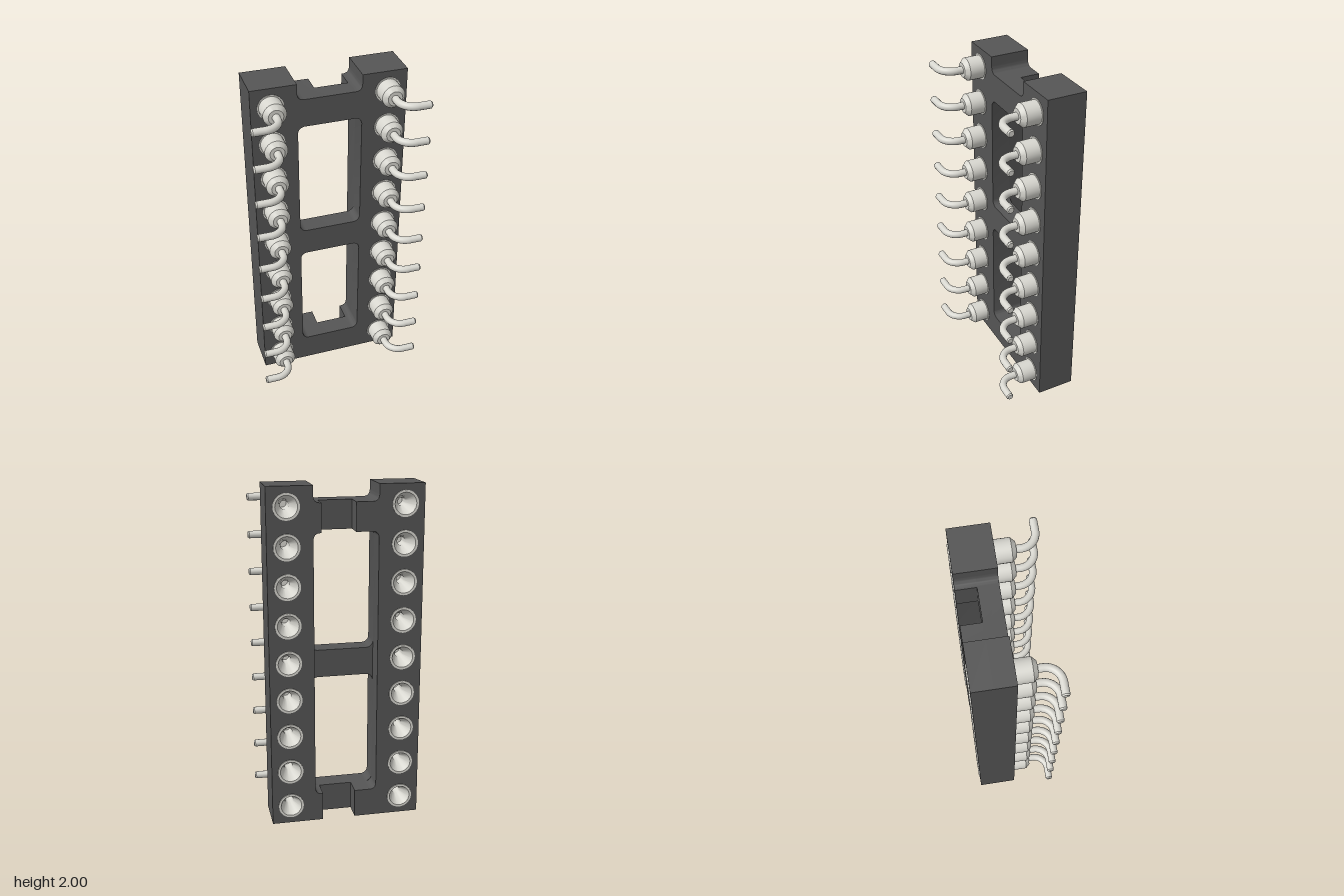
import * as THREE from 'three';
import { toCreasedNormals } from 'three/addons/utils/BufferGeometryUtils.js';

const HALF_W = 0.445, INNER = 0.185, FILLET = 0.04;
const PIN_X = 0.333, PIN_ROWS = 9, PITCH = 2 / 9;
const Z_BACK = -0.24, Z_MID = -0.125, Z_FRONT = -0.01;

const pinY = (i) => 1 + (i - 4) * PITCH;

function roundedWindow(y0, y1) {
  const p = new THREE.Path(), w = INNER, r = FILLET;
  p.moveTo(-w + r, y0);
  p.absarc(w - r, y0 + r, r, -Math.PI / 2, 0);
  p.absarc(w - r, y1 - r, r, 0, Math.PI / 2);
  p.absarc(-w + r, y1 - r, r, Math.PI / 2, Math.PI);
  p.absarc(-w + r, y0 + r, r, Math.PI, Math.PI * 1.5);
  p.closePath();
  return p;
}

function addPinHoles(shape, side) {
  for (let i = 0; i < PIN_ROWS; i++) {
    shape.holes.push(new THREE.Path().absarc(side * PIN_X, pinY(i), 0.066, 0, Math.PI * 2));
  }
}

function extrude(shape, z0, z1) {
  const g = new THREE.ExtrudeGeometry(shape, { depth: z1 - z0, bevelEnabled: false, curveSegments: 10 });
  g.translate(0, 0, z0);
  return toCreasedNormals(g, 0.6);
}

// Front half of the body: ladder frame with two windows and an open top notch
function frameShape() {
  const s = new THREE.Shape(), w = INNER, r = FILLET, y = 1.905;
  s.moveTo(-HALF_W, 0);
  s.lineTo(HALF_W, 0);
  s.lineTo(HALF_W, 2);
  s.lineTo(w, 2);
  s.lineTo(w, y + r);
  s.quadraticCurveTo(w, y, w - r, y);
  s.lineTo(-w + r, y);
  s.quadraticCurveTo(-w, y, -w, y + r);
  s.lineTo(-w, 2);
  s.lineTo(-HALF_W, 2);
  s.closePath();
  s.holes.push(roundedWindow(0.17, 0.87), roundedWindow(1.035, 1.74));
  addPinHoles(s, 1);
  addPinHoles(s, -1);
  return s;
}

// Back half of the body: one rail with a tab at each end, reaching in to x = tab
function railShape(side, tab) {
  const s = new THREE.Shape(), w = INNER, r = FILLET;
  const line = (x, y) => s.lineTo(side * x, y);
  const fillet = (cy, x, y) => s.quadraticCurveTo(side * w, cy, side * x, y);
  s.moveTo(side * HALF_W, 0);
  line(HALF_W, 2);
  line(w, 2);
  line(w, 1.905 + r);
  fillet(1.905, w - r, 1.905);
  line(tab, 1.905);
  line(tab, 1.74);
  line(w - r, 1.74);
  fillet(1.74, w, 1.74 - r);
  line(w, 0.17 + r);
  fillet(0.17, w - r, 0.17);
  line(tab, 0.17);
  line(tab, 0);
  s.closePath();
  addPinHoles(s, side);
  return s;
}

// Turned sleeve: blind bore, funnel, back rim, barrel, front ring, chamfered collar
function sleeveGeometry() {
  const profile = [
    [0, -0.08], [0.024, -0.08], [0.024, -0.165], [0.062, -0.246], [0.075, -0.246],
    [0.075, -0.239], [0.066, -0.239], [0.066, -0.012], [0.074, -0.012], [0.074, -0.007],
    [0.066, -0.007], [0.066, 0.08], [0.042, 0.105], [0, 0.105],
  ].map(([r, z]) => new THREE.Vector2(r, z));
  const g = new THREE.LatheGeometry(profile, 28);
  g.rotateX(Math.PI / 2);
  return toCreasedNormals(g, 0.5);
}

// Lead: straight out of the collar, then a quarter bend to the outside
function leadGeometry() {
  const v = (x, z) => new THREE.Vector3(x, 0, z);
  const R = 0.087, k = R * 0.5523, z = 0.221;
  const path = new THREE.CurvePath();
  path.add(new THREE.LineCurve3(v(0, 0.09), v(0, z - R)));
  path.add(new THREE.CubicBezierCurve3(v(0, z - R), v(0, z - R + k), v(R - k, z), v(R, z)));
  path.add(new THREE.LineCurve3(v(R, z), v(0.156, z)));
  return new THREE.TubeGeometry(path, 22, 0.022, 14, false);
}

// Chamfered end of the lead
function tipGeometry() {
  const g = new THREE.CylinderGeometry(0.016, 0.022, 0.008, 14);
  g.rotateZ(-Math.PI / 2);
  g.translate(0.16, 0, 0.221);
  return toCreasedNormals(g, 0.5);
}

export function createModel() {
  const model = new THREE.Group();
  model.name = 'icSocket';
  const plastic = new THREE.MeshStandardMaterial({ color: 0x555555 });
  const metal = new THREE.MeshStandardMaterial({ color: 0xd8d7d0 });

  const add = (parent, name, geometry, material) => {
    const m = new THREE.Mesh(geometry, material);
    m.name = name;
    parent.add(m);
  };

  const body = new THREE.Group();
  body.name = 'body';
  add(body, 'frontFrame', extrude(frameShape(), Z_MID, Z_FRONT), plastic);
  add(body, 'leftRail', extrude(railShape(1, 0.14), Z_BACK, Z_MID), plastic);
  add(body, 'rightRail', extrude(railShape(-1, 0.055), Z_BACK, Z_MID), plastic);
  model.add(body);

  // Two rows of pins; the right row is turned half round so its leads point outward
  const sleeve = sleeveGeometry(), lead = leadGeometry(), tip = tipGeometry();
  for (const side of [1, -1]) {
    for (let i = 0; i < PIN_ROWS; i++) {
      const pin = new THREE.Group();
      pin.name = side > 0 ? 'leftPin' : 'rightPin';
      add(pin, 'sleeve', sleeve, metal);
      add(pin, 'lead', lead, metal);
      add(pin, 'leadTip', tip, metal);
      pin.position.set(side * PIN_X, pinY(i), 0);
      if (side < 0) pin.rotation.z = Math.PI;
      model.add(pin);
    }
  }
  return model;
}
